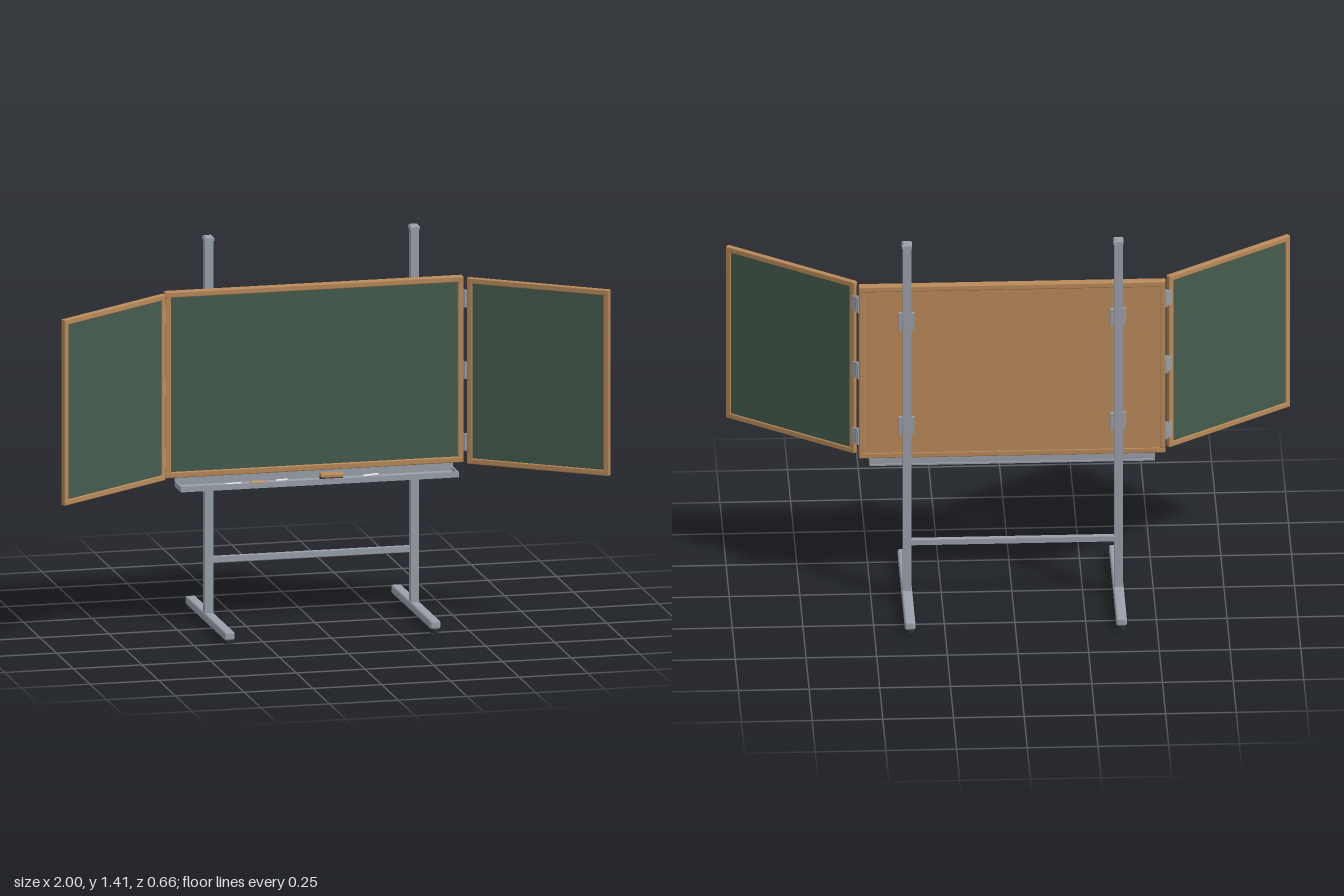
import * as THREE from 'three';
import { RoundedBoxGeometry } from 'three/addons/geometries/RoundedBoxGeometry.js';

const mat = (name, color) => {
  const m = new THREE.MeshStandardMaterial({ color });
  m.name = name;
  return m;
};

export function createModel() {
  const steel = mat('steel grey', 0x9aa1ab);
  const wood = mat('wood', 0xb98a5a);
  const slate = mat('board green', 0x455c4e);
  const rubber = mat('dark rubber', 0x2b2d30);
  const white = mat('white chalk', 0xe6e6e0);
  const orange = mat('orange chalk', 0xd89a5a);
  const root = new THREE.Group();
  root.name = 'chalkboardStand';

  const add = (parent, name, geo, m, x, y, z) => {
    const mesh = new THREE.Mesh(geo, m);
    mesh.name = name;
    mesh.position.set(x, y, z);
    parent.add(mesh);
    return mesh;
  };
  const box = (parent, name, m, w, h, d, x, y, z) =>
    add(parent, name, new THREE.BoxGeometry(w, h, d), m, x, y, z);
  const soft = (parent, name, m, w, h, d, x, y, z, r = 0.004) =>
    add(parent, name, new RoundedBoxGeometry(w, h, d, 2, r), m, x, y, z);

  // Wooden frame around a green panel, centred on its group
  const framedPanel = (name, w, h, d, rail, panelDepth) => {
    const g = new THREE.Group();
    g.name = name;
    box(g, 'writingSurface', slate, w - rail, h - rail, panelDepth, 0, 0, 0);
    for (const s of [-1, 1]) {
      soft(g, 'rail', wood, w, rail, d, 0, s * (h - rail) / 2, 0);
      soft(g, 'stile', wood, rail, h - 2 * rail + 0.008, d - 0.001, s * (w - rail) / 2, 0, 0);
    }
    root.add(g);
    return g;
  };

  // Main board with a wooden back
  const midY = 0.888, height = 0.675;
  const main = framedPanel('mainBoard', 1.085, height, 0.031, 0.021, 0.014);
  main.position.set(0, midY, -0.02);
  box(main, 'backPanel', wood, 1.07, height - 0.03, 0.008, 0, -0.004, -0.0095);

  // Folding wings, green on both sides
  const angle = THREE.MathUtils.degToRad(35);
  for (const s of [-1, 1]) {
    const wing = framedPanel(s > 0 ? 'leftWing' : 'rightWing', 0.54, height, 0.02, 0.021, 0.012);
    wing.position.set(s * 0.773, midY, 0.167);
    wing.rotation.y = -s * angle;

    // Hinges: a knuckle with two leaves
    for (const y of [0.625, 0.885, 1.145]) {
      const hinge = new THREE.Group();
      hinge.name = 'hinge';
      hinge.position.set(s * 0.547, y, -0.003);
      root.add(hinge);
      add(hinge, 'knuckle', new THREE.CylinderGeometry(0.006, 0.006, 0.062, 12), steel, 0, 0, 0);
      box(hinge, 'boardLeaf', steel, 0.004, 0.058, 0.02, -s * 0.003, 0, -0.008);
      const leaf = box(hinge, 'wingLeaf', steel, 0.022, 0.058, 0.004, s * 0.009, 0, 0.005);
      leaf.rotation.y = -s * angle;
    }
  }

  // Posts, caps, feet and brackets
  for (const s of [-1, 1]) {
    const x = s * 0.374;
    box(root, 'post', steel, 0.03, 1.36, 0.032, x, 0.72, -0.058);
    box(root, 'postCap', steel, 0.036, 0.01, 0.038, x, 1.4, -0.058);
    const top = new THREE.CylinderGeometry(0.018, 0.0255, 0.006, 4, 1).rotateY(Math.PI / 4).toNonIndexed();
    top.computeVertexNormals();
    add(root, 'capTop', top, steel, x, 1.408, -0.058);
    soft(root, 'foot', steel, 0.038, 0.031, 0.594, x, 0.03, -0.031, 0.008);
    for (const z of [0.248, -0.31])
      add(root, 'footPad', new THREE.CylinderGeometry(0.014, 0.016, 0.018, 16), rubber, x, 0.009, z);
    for (const y of [0.683, 1.093])
      box(root, 'bracket', steel, 0.056, 0.065, 0.012, x, y, -0.04);
  }
  box(root, 'crossBar', steel, 0.73, 0.02, 0.02, 0, 0.235, -0.065);

  // Chalk tray with lips
  const tray = new THREE.Group();
  tray.name = 'chalkTray';
  root.add(tray);
  box(tray, 'trayFloor', steel, 1.01, 0.006, 0.098, 0, 0.519, 0.024);
  box(tray, 'frontLip', steel, 1.01, 0.02, 0.006, 0, 0.526, 0.071);
  box(tray, 'backLip', steel, 1.01, 0.035, 0.006, 0, 0.5335, -0.018);
  for (const s of [-1, 1])
    box(tray, 'endLip', steel, 0.006, 0.02, 0.096, s * 0.502, 0.526, 0.025);

  // Eraser: felt below, wooden grip above
  const eraser = new THREE.Group();
  eraser.name = 'eraser';
  eraser.position.set(0.05, 0.522, 0.04);
  eraser.rotation.y = -0.08;
  root.add(eraser);
  box(eraser, 'felt', rubber, 0.078, 0.014, 0.036, 0, 0.007, 0);
  soft(eraser, 'grip', wood, 0.082, 0.015, 0.04, 0, 0.0205, 0, 0.005);

  // Chalk sticks: x, z, length, turn, colour
  for (const [x, z, len, turn, m] of [
    [-0.305, 0.03, 0.06, 0.15, white], [-0.21, 0.02, 0.06, -0.1, orange],
    [-0.125, 0.014, 0.045, 0.12, white], [0.2, 0.009, 0.06, 0.25, white],
  ]) {
    const stick = add(root, 'chalk', new THREE.CylinderGeometry(0.0045, 0.0045, len, 10).rotateZ(Math.PI / 2), m, x, 0.5265, z);
    stick.rotation.y = turn;
  }
  return root;
}
